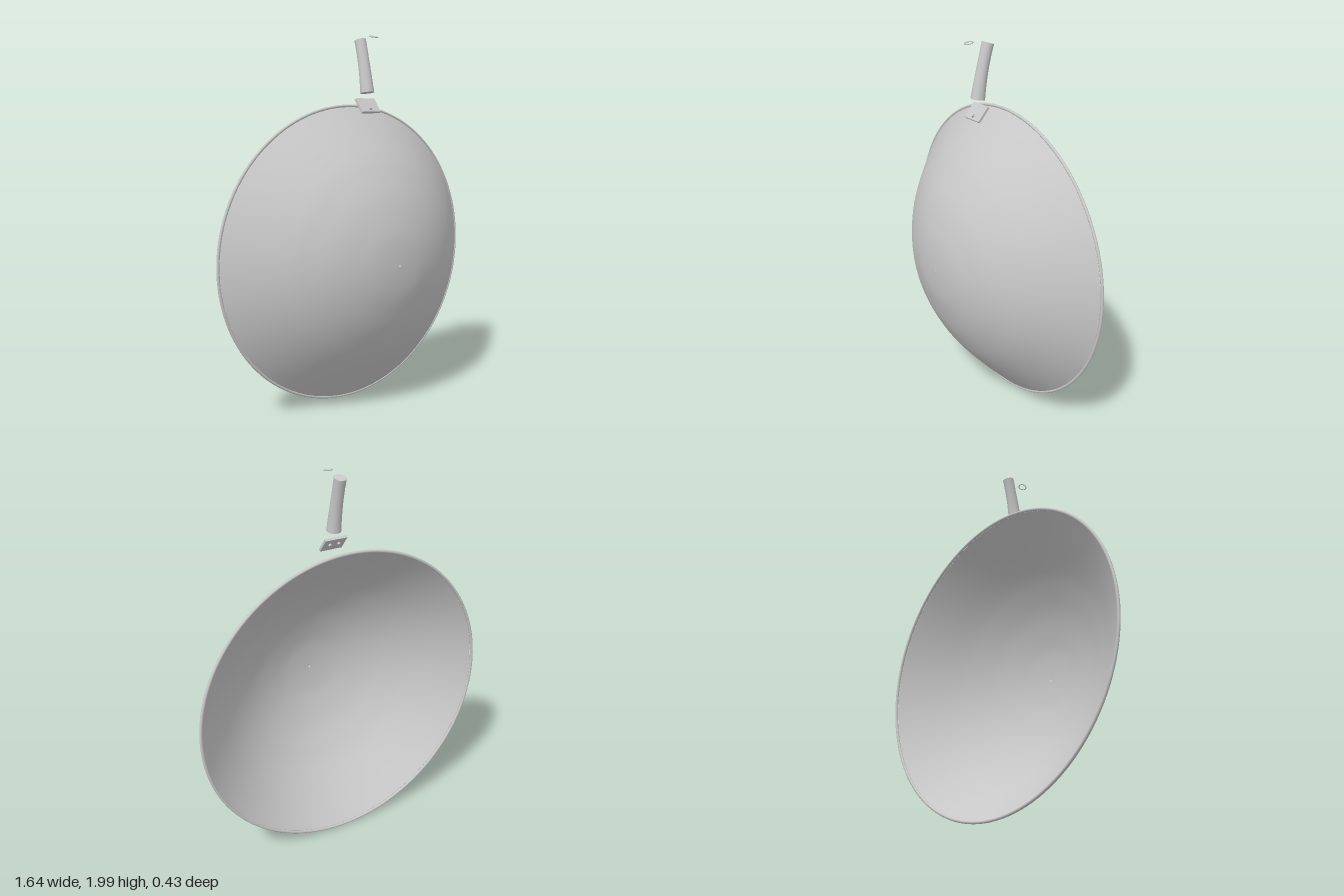
import * as THREE from 'three';

export function createModel() {
  const steel = new THREE.MeshStandardMaterial({ color: 0xc8c8c8, side: THREE.DoubleSide });
  steel.name = 'brushed steel';
  const model = new THREE.Group();
  const add = (name, geometry, parent = model) => {
    const mesh = new THREE.Mesh(geometry, steel);
    mesh.name = name;
    parent.add(mesh);
    return mesh;
  };

  // Pan stands on its edge: the lathe axis is turned to face the front
  const pan = new THREE.Group();
  pan.name = 'pan';
  pan.position.y = 0.828;
  pan.rotation.x = Math.PI / 2;
  model.add(pan);

  // Thin domed shell with a tiny hole in the middle
  const dome = new THREE.SplineCurve([
    [0.005, 0.215], [0.1, 0.209], [0.2, 0.192], [0.35, 0.142],
    [0.48, 0.072], [0.58, 0.002], [0.7, -0.102], [0.808, -0.204],
  ].map(([r, z]) => new THREE.Vector2(r, z)));
  add('bowl', new THREE.LatheGeometry(dome.getPoints(32), 96), pan);

  // Rolled edge
  const rim = add('rim', new THREE.TorusGeometry(0.814, 0.008, 10, 128), pan);
  rim.rotation.x = Math.PI / 2;
  rim.position.y = -0.21;

  // Flared handle, bent gently backwards
  const handleGeometry = new THREE.CylinderGeometry(1, 1, 1, 32, 16);
  const p = handleGeometry.attributes.position;
  for (let i = 0; i < p.count; i++) {
    const t = p.getY(i) + 0.5;
    const tilt = 0.14 + 0.14 * t;
    const radius = 0.029 + 0.008 * (1 - t) ** 2 + 0.002 * t ** 4;
    const z = p.getZ(i) * radius;
    p.setXYZ(i,
      p.getX(i) * radius,
      1.71 + 0.272 * t + z * Math.sin(tilt),
      -0.055 - 0.04 * t - 0.019 * t * t + z * Math.cos(tilt));
  }
  handleGeometry.computeVertexNormals();
  add('handle', handleGeometry);

  // Loose hanging ring
  const ring = add('hangingRing', new THREE.TorusGeometry(0.021, 0.0028, 8, 32));
  ring.position.set(0, 1.992, 0);
  ring.rotation.x = Math.PI / 2 + 0.2;

  // Slanted mounting plate with rivets
  const bracket = new THREE.Group();
  bracket.name = 'bracket';
  bracket.position.set(0, 1.643, -0.05);
  bracket.rotation.x = -0.69;
  model.add(bracket);
  add('plate', new THREE.BoxGeometry(0.122, 0.09, 0.013), bracket);
  for (const [x, y, z] of [[0, -0.026, 0.011], [-0.025, 0.008, -0.011], [0.025, 0.008, -0.011]]) {
    const rivet = add('rivet', new THREE.CylinderGeometry(0.008, 0.008, 0.012, 16), bracket);
    rivet.rotation.x = Math.PI / 2;
    rivet.position.set(x, y, z);
  }

  return model;
}
